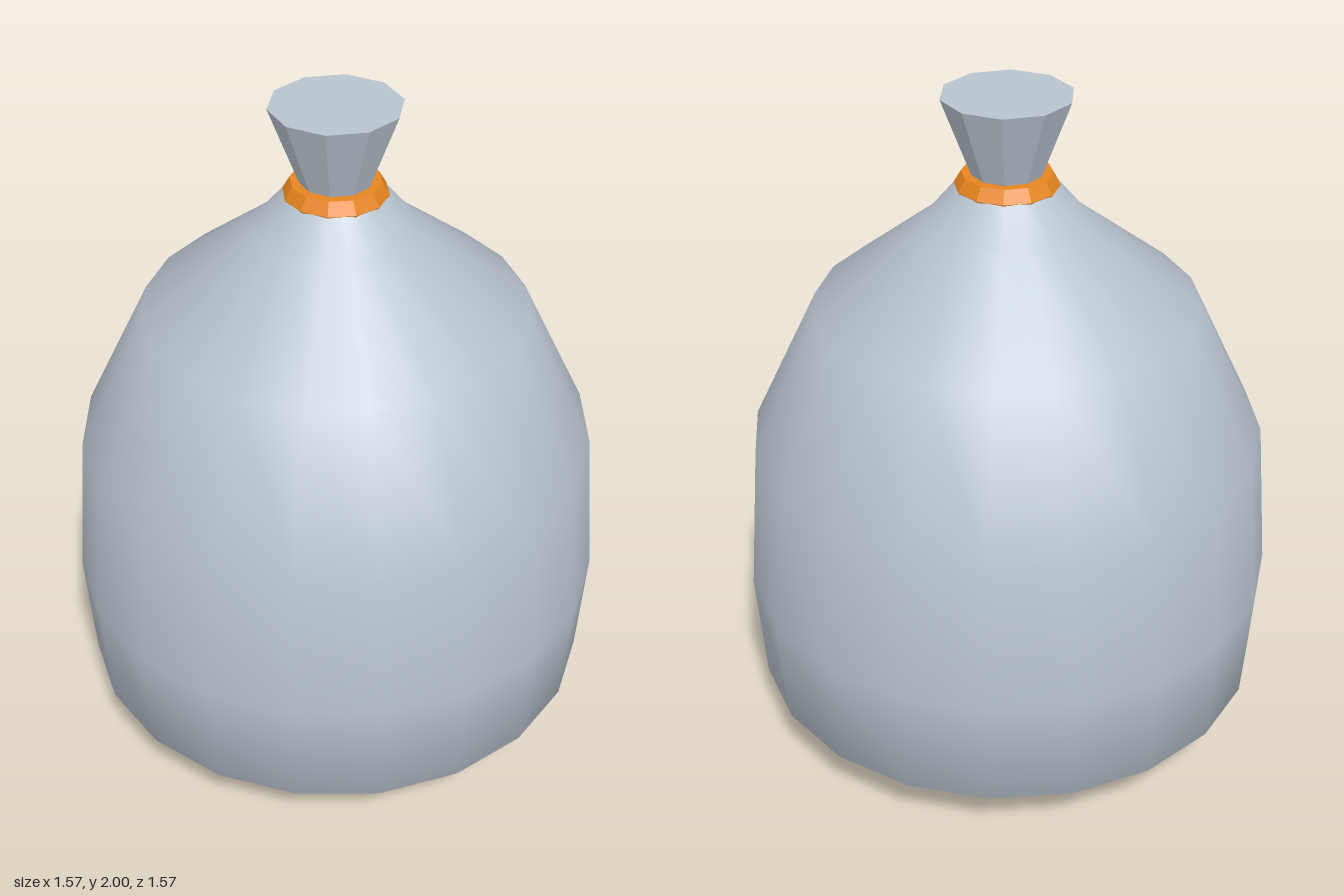
import * as THREE from 'three';

export function createModel() {
  const group = new THREE.Group();
  const cloth = new THREE.MeshStandardMaterial({ color: 0xb8c3cf });
  cloth.name = 'pale grey cloth';
  const cord = new THREE.MeshStandardMaterial({ color: 0xe6851f });
  cord.name = 'orange cord';

  const add = (name, geometry, material, y = 0) => {
    const mesh = new THREE.Mesh(geometry, material);
    mesh.name = name;
    mesh.position.y = y;
    group.add(mesh);
    return mesh;
  };

  // Full, smooth sack body, from the base up to the tied neck
  const profile = [
    [0, 0], [0.01, 0.001], [0.55, 0.043], [0.763, 0.19], [0.785, 0.53], [0.747, 0.98],
    [0.552, 1.385], [0.23, 1.637], [0.135, 1.75], [0.1, 1.775],
  ].map(([r, y]) => new THREE.Vector2(r, y));
  add('sackBody', new THREE.LatheGeometry(profile, 20), cloth);

  // Faceted gathered cloth flaring out above the tie
  const flare = new THREE.CylinderGeometry(0.185, 0.095, 0.24, 10).toNonIndexed();
  flare.computeVertexNormals();
  add('gatheredTop', flare, cloth, 1.88);

  // Cord tied round the neck
  const ring = new THREE.TorusGeometry(0.106, 0.042, 6, 12).toNonIndexed();
  ring.rotateX(Math.PI / 2);
  ring.computeVertexNormals();
  add('neckTie', ring, cord, 1.741);

  return group;
}
